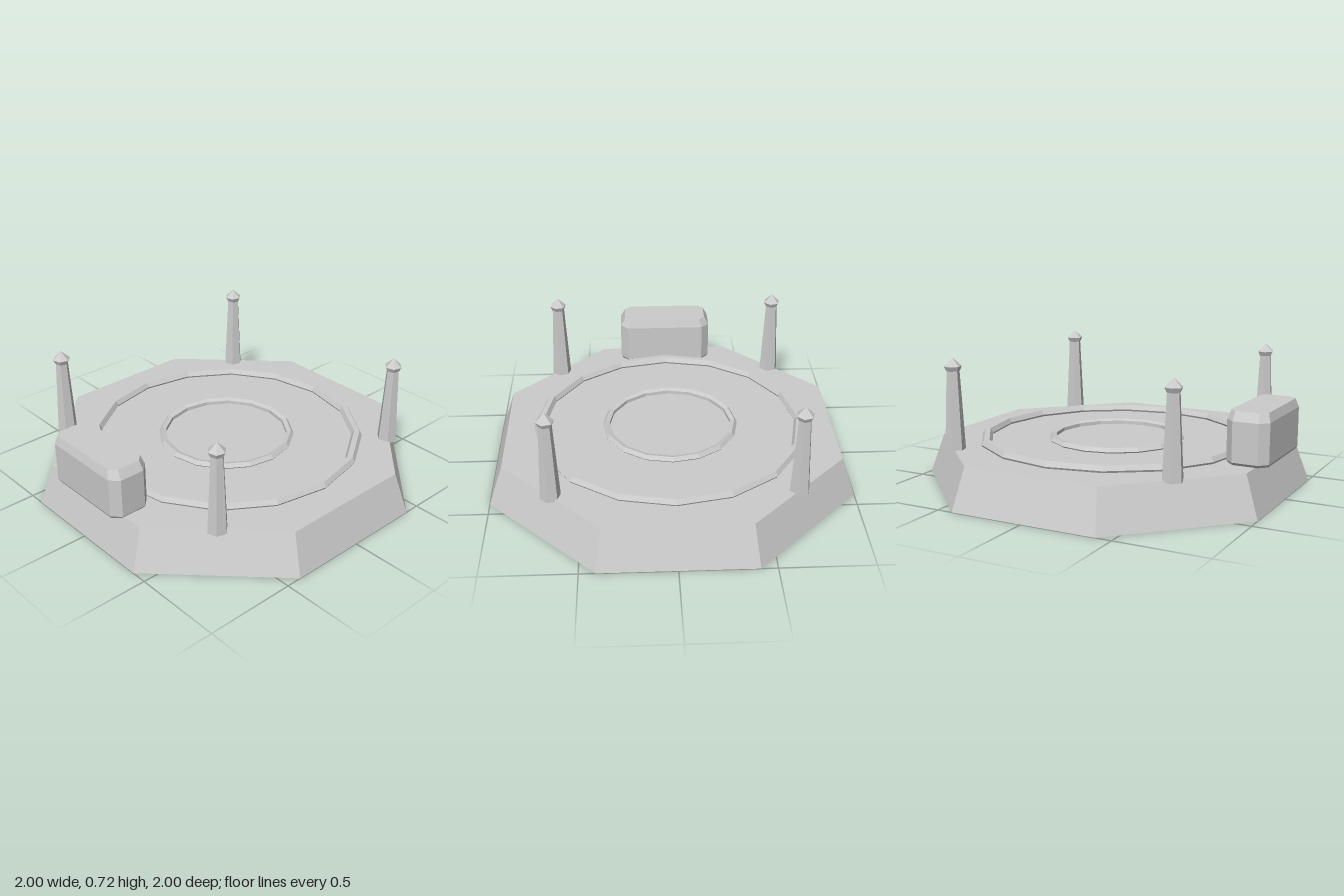
import * as THREE from 'three';
import { ConvexGeometry } from 'three/addons/geometries/ConvexGeometry.js';

export function createModel() {
  const model = new THREE.Group();
  const stone = new THREE.MeshStandardMaterial({ color: 0xcccccc });
  stone.name = 'pale stone';

  // Flat-faced mesh helper
  const add = (name, geometry, parent = model) => {
    const flat = geometry.index ? geometry.toNonIndexed() : geometry;
    flat.computeVertexNormals();
    const mesh = new THREE.Mesh(flat, stone);
    mesh.name = name;
    parent.add(mesh);
    return mesh;
  };

  // Octagonal sloped platform
  const deck = 0.225;
  const platform = add('platform', new THREE.CylinderGeometry(1, 1.0824, deck, 8));
  platform.rotation.y = Math.PI / 8;
  platform.position.y = deck / 2;

  // Raised rings on the deck
  const ring = (name, radius, tube, sides, y) => {
    const mesh = add(name, new THREE.TorusGeometry(radius, tube, sides, 16));
    mesh.rotation.x = Math.PI / 2;
    mesh.position.y = y;
  };
  ring('outerRing', 0.742, 0.03, 6, 0.236);
  ring('innerRing', 0.362, 0.022, 5, 0.232);

  // Four tapering hexagonal pillars with pointed caps
  for (const x of [-1, 1]) {
    for (const z of [-1, 1]) {
      const pillar = new THREE.Group();
      pillar.name = 'pillar';
      pillar.position.set(x * 0.645, 0, z * 0.645);
      pillar.rotation.y = Math.PI / 4;
      add('pillarShaft', new THREE.CylinderGeometry(0.034, 0.056, 0.45, 6), pillar).position.y = 0.44;
      add('capCollar', new THREE.CylinderGeometry(0.048, 0.036, 0.025, 6), pillar).position.y = 0.665;
      add('capPoint', new THREE.ConeGeometry(0.048, 0.047, 6), pillar).position.y = 0.701;
      model.add(pillar);
    }
  }

  // Chamfered block at the front edge, built from stacked corner-cut rectangles
  const points = [];
  const layers = [
    [0.225, 0.262, 0.108, 0.04],
    [0.24, 0.275, 0.115, 0.045],
    [0.455, 0.275, 0.115, 0.045],
    [0.503, 0.248, 0.1, 0.035],
  ];
  for (const [y, hx, hz, cut] of layers) {
    for (const sx of [-1, 1]) {
      for (const sz of [-1, 1]) {
        points.push(new THREE.Vector3(sx * hx, y, sz * (hz - cut)));
        points.push(new THREE.Vector3(sx * (hx - cut), y, sz * hz));
      }
    }
  }
  add('frontBlock', new ConvexGeometry(points)).position.set(-0.002, 0, 0.872);

  return model;
}
